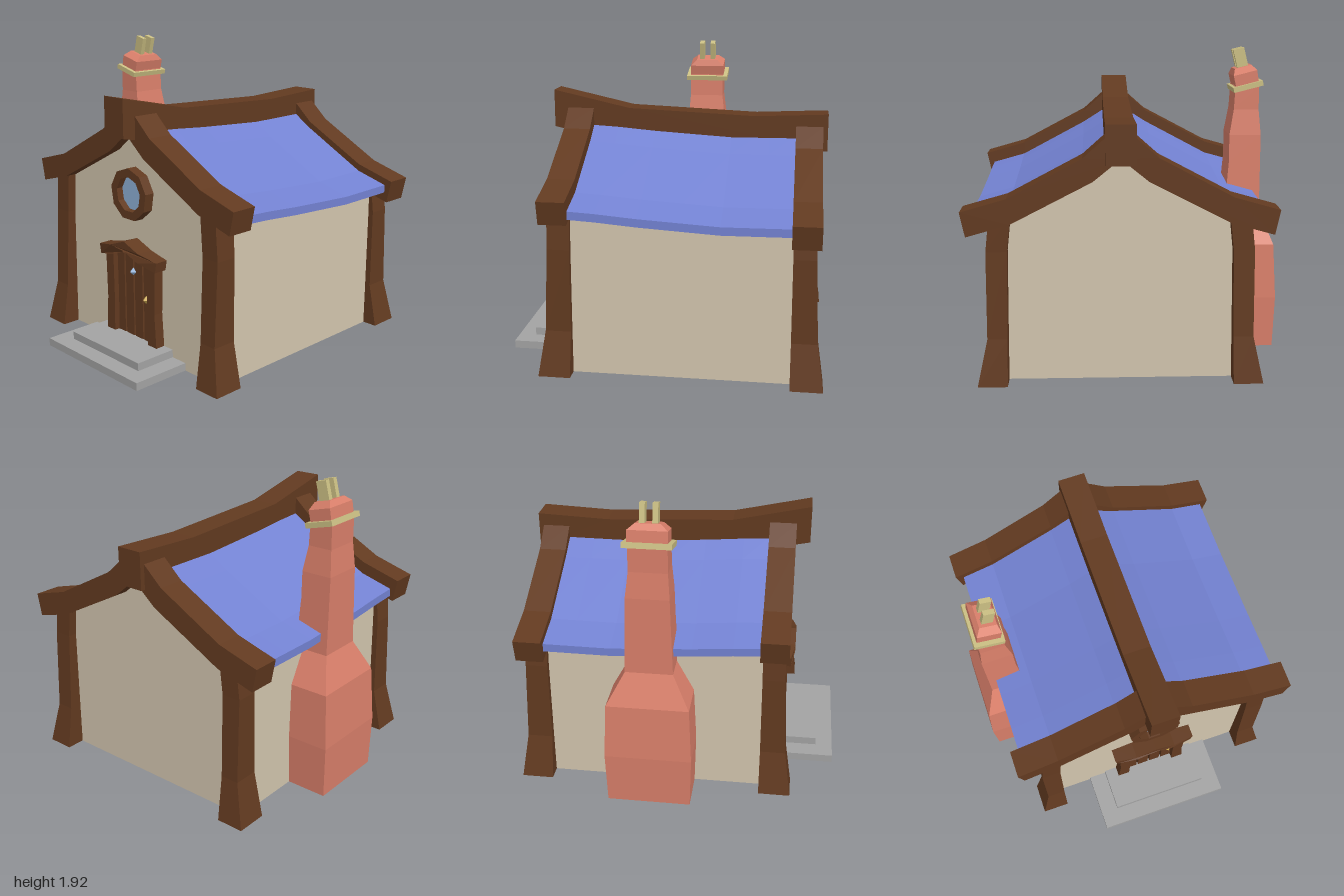
import * as THREE from 'three';

const CX = 0.047, CZ = -0.135; // middle of the house
const mat = (color) => new THREE.MeshStandardMaterial({ color, flatShading: true });
const WOOD = mat(0x623a20), DARK = mat(0x351d0f), WALL = mat(0xd2c5ae), ROOF = mat(0x7382d2),
  BRICK = mat(0xd97f6a), SAND = mat(0xcbbf83), STONE = mat(0xa3a3a3), GLASS = mat(0x8fb0d6), GOLD = mat(0xcba94f);

export function createModel() {
  const house = new THREE.Group();
  house.name = 'cottage';

  const add = (name, geometry, material, parent = house) => {
    const mesh = new THREE.Mesh(geometry, material);
    mesh.name = name;
    parent.add(mesh);
    return mesh;
  };
  const box = (x0, x1, y0, y1, z0, z1) =>
    new THREE.BoxGeometry(x1 - x0, y1 - y0, z1 - z0).translate((x0 + x1) / 2, (y0 + y1) / 2, (z0 + z1) / 2);

  // Outline extruded from z0 to z1; lower(z) optionally shifts the upper vertices
  const prism = (points, z0, z1, steps = 1, lower = null) => {
    const shape = new THREE.Shape(points.map((p) => new THREE.Vector2(p[0], p[1])));
    const g = new THREE.ExtrudeGeometry(shape, { depth: z1 - z0, steps, bevelEnabled: false }).translate(0, 0, z0);
    const p = g.attributes.position;
    if (lower) for (let i = 0; i < p.count; i++) if (p.getY(i) > 0.01) p.setY(i, p.getY(i) + lower(p.getZ(i)));
    g.computeVertexNormals();
    return g;
  };
  // Half profiles (outer end to middle) mirrored into one closed outline
  const mirrored = (top, bottom) => {
    const full = (half) => [
      ...half.map(([x, y]) => [CX + x, y]),
      ...half.filter(([x]) => x > 0).reverse().map(([x, y]) => [CX - x, y]),
    ];
    return [...full(top), ...full(bottom).reverse()];
  };
  // Rectangular column through levels [y, x0, x1, z0, z1]
  const column = (levels) => {
    const n = levels.length - 1;
    const g = new THREE.BoxGeometry(1, 1, 1, 1, n, 1);
    const p = g.attributes.position;
    for (let i = 0; i < p.count; i++) {
      const [y, x0, x1, z0, z1] = levels[Math.round((p.getY(i) + 0.5) * n)];
      p.setXYZ(i, p.getX(i) < 0 ? x0 : x1, y, p.getZ(i) < 0 ? z0 : z1);
    }
    g.computeVertexNormals();
    return g;
  };

  // Sagging line of the roof from front to back
  const knots = [[0.515, 0], [0.1, -0.035], [-0.4, -0.065], [-0.79, -0.06]];
  const sag = (z) => {
    if (z >= knots[0][0]) return 0;
    for (let i = 1; i < knots.length; i++) {
      const [za, a] = knots[i - 1], [zb, b] = knots[i];
      if (z >= zb) return THREE.MathUtils.mapLinear(z, za, zb, a, b);
    }
    return -0.06;
  };

  // Walls with gables, and the roof over them
  add('walls', prism(mirrored([[0.74, 1.075], [0.65, 1.1], [0.22, 1.33], [0, 1.46]], [[0.74, 0]]),
    -0.88, 0.61, 6, sag), WALL);
  add('roof', prism(mirrored(
    [[0.865, 1.07], [0.65, 1.13], [0.22, 1.36], [0, 1.5]],
    [[0.865, 1.02], [0.65, 1.08], [0.22, 1.31], [0, 1.44]]), -0.87, 0.6, 6, sag), ROOF);

  // Gable beams, the back one lower
  const gable = mirrored(
    [[0.915, 1.13], [0.65, 1.205], [0.217, 1.435], [0.088, 1.55], [0, 1.555]],
    [[0.885, 0.985], [0.635, 1.055], [0.16, 1.3], [0, 1.43]]);
  add('frontGableBeam', prism(gable, 0.515, 0.685), WOOD);
  add('backGableBeam', prism(gable, -0.96, -0.79, 1, () => -0.09), WOOD);

  // Ridge beam, drawn from the side
  add('ridgeBeam', prism([
    [0.775, 1.665], [0.28, 1.555], [-0.53, 1.52], [-0.99, 1.54],
    [-0.99, 1.305], [-0.53, 1.29], [0.28, 1.32], [0.775, 1.425],
  ], 0, 0.176).rotateY(-Math.PI / 2).translate(CX + 0.088, 0, 0), WOOD);

  // Corner posts with flared feet
  for (const sx of [-1, 1]) for (const sz of [-1, 1]) {
    const levels = [
      [0, 0.663, 0.838, 0.667, 0.865], [0.28, 0.66, 0.778, 0.667, 0.825],
      [0.8, 0.653, 0.776, 0.665, 0.802], [sz > 0 ? 1.1 : 1.01, 0.63, 0.752, 0.66, 0.802],
    ].map(([y, a, b, c, d]) => [y,
      CX + (sx > 0 ? a : -b), CX + (sx > 0 ? b : -a), CZ + (sz > 0 ? c : -d), CZ + (sz > 0 ? d : -c)]);
    add((sz > 0 ? 'front' : 'back') + (sx > 0 ? 'Left' : 'Right') + 'Post', column(levels), WOOD);
  }

  // Nine-sided window
  const ring = (r) => Array.from({ length: 9 }, (_, i) => {
    const a = Math.PI / 2 + (i * Math.PI * 2) / 9;
    return new THREE.Vector2(CX - 0.002 + r * Math.cos(a), 1.048 + r * Math.sin(a));
  });
  const frame = new THREE.Shape(ring(0.168));
  frame.holes.push(new THREE.Path(ring(0.113)));
  add('windowFrame', new THREE.ExtrudeGeometry(frame, { depth: 0.085, bevelEnabled: false }).translate(0, 0, 0.59), WOOD);
  add('windowPane', prism(ring(0.12).map((v) => [v.x, v.y]), 0.59, 0.63), GLASS);

  // Door: planks on a dark backing, side posts, bent lintel
  const door = new THREE.Group();
  door.name = 'door';
  house.add(door);
  add('doorBacking', box(-0.13, 0.22, 0.1, 0.64, 0.59, 0.622), DARK, door);
  for (let i = 0; i < 4; i++) {
    const x = -0.124 + i * 0.0875, h = i % 3 ? 0.67 : 0.64;
    add('doorPlank', box(x, x + 0.074, 0.1, h, 0.6, 0.64), WOOD, door);
  }
  for (const s of [-1, 1]) {
    const levels = [[0.1, 0.165, 0.245], [0.32, 0.16, 0.23], [0.64, 0.165, 0.238]]
      .map(([y, a, b]) => [y, CX + (s > 0 ? a : -b), CX + (s > 0 ? b : -a), 0.59, 0.675]);
    add('doorPost', column(levels), WOOD, door);
  }
  const lintel = prism(mirrored(
    [[0.277, 0.675], [0.135, 0.705], [0, 0.755]], [[0.265, 0.61], [0.125, 0.645], [0, 0.69]]), 0.59, 0.72);
  const lp = lintel.attributes.position;
  for (let i = 0; i < lp.count; i++) // ends sweep back a little
    if (lp.getZ(i) > 0.7 && Math.abs(lp.getX(i) - CX) > 0.2) lp.setZ(i, 0.695);
  lintel.computeVertexNormals();
  add('doorLintel', lintel, WOOD, door);
  add('doorPeephole', new THREE.OctahedronGeometry(0.026).translate(0.045, 0.54, 0.645), GLASS, door);
  add('doorKnob', new THREE.OctahedronGeometry(0.026).translate(0.173, 0.385, 0.65), GOLD, door);

  // Steps
  add('lowerStep', box(-0.4, 0.488, 0, 0.05, 0.58, 1), STONE);
  add('upperStep', box(-0.283, 0.372, 0.05, 0.1, 0.58, 0.89), STONE);

  // Chimney: crooked shaft, tilted collar, cap and two pots
  const chimney = new THREE.Group();
  chimney.name = 'chimney';
  house.add(chimney);
  add('chimneyShaft', column([
    [0, -0.955, -0.6, -0.4, 0.115], [0.33, -0.965, -0.6, -0.41, 0.125], [0.68, -0.945, -0.6, -0.395, 0.11],
    [0.88, -0.865, -0.64, -0.285, 0.005], [1.2, -0.865, -0.665, -0.275, -0.005],
    [1.37, -0.865, -0.665, -0.27, -0.01], [1.53, -0.85, -0.692, -0.25, -0.02], [1.68, -0.85, -0.7, -0.25, -0.02],
  ]), BRICK, chimney);
  const top = new THREE.Group();
  top.name = 'chimneyTop';
  top.position.set(-0.777, 1.677, -0.137);
  top.rotation.z = -0.25;
  chimney.add(top);
  add('chimneyCollar', box(-0.095, 0.095, -0.016, 0.016, -0.145, 0.145), SAND, top);
  add('chimneyCap', column([
    [0, -0.073, 0.073, -0.117, 0.117], [0.085, -0.08, 0.072, -0.117, 0.117],
    [0.122, -0.058, 0.05, -0.075, 0.075],
  ]), BRICK, top);
  for (const z of [-0.038, 0.038])
    add('chimneyPot', box(-0.04, 0.03, 0.1, 0.238, z - 0.016, z + 0.016), SAND, top);

  return house;
}
